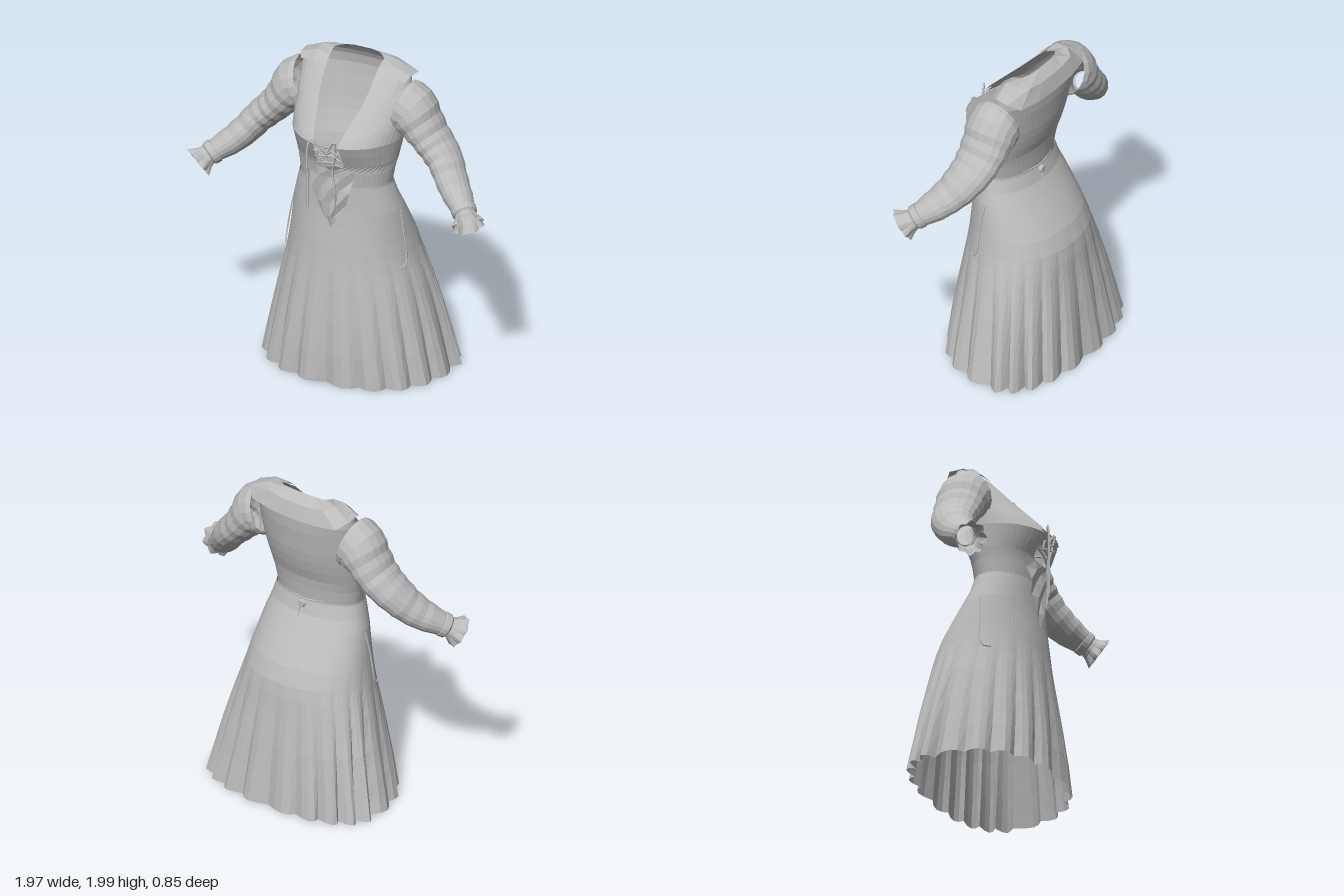
import * as THREE from 'three';

const cloth = new THREE.MeshStandardMaterial({ color: 0xbcbcbc, flatShading: true, side: THREE.DoubleSide });
cloth.name = 'grey cloth';

// Surface through rows of points that all have the same length
function loft(rows, name) {
  const n = rows[0].length, pos = [], idx = [];
  rows.forEach(r => r.forEach(p => pos.push(p[0], p[1], p[2])));
  for (let i = 0; i < rows.length - 1; i++) for (let j = 0; j < n - 1; j++) {
    const a = i * n + j, b = a + 1, c = a + n + 1, d = a + n;
    idx.push(a, b, c, a, c, d);
  }
  const g = new THREE.BufferGeometry();
  g.setAttribute('position', new THREE.Float32BufferAttribute(pos, 3));
  g.setIndex(idx);
  g.computeVertexNormals();
  const m = new THREE.Mesh(g, cloth);
  m.name = name;
  return m;
}

function cord(points, radius, name) {
  const curve = new THREE.CatmullRomCurve3(points.map(p => new THREE.Vector3(...p)));
  const m = new THREE.Mesh(new THREE.TubeGeometry(curve, points.length * 4, radius, 5), cloth);
  m.name = name;
  return m;
}

// Interpolate a table of rows by its first column
function at(table, y) {
  let i = 0;
  while (i < table.length - 2 && y > table[i + 1][0]) i++;
  const a = table[i], b = table[i + 1];
  const t = THREE.MathUtils.clamp((y - a[0]) / (b[0] - a[0]), 0, 1);
  return a.map((v, k) => v + (b[k] - v) * t);
}

// height, half width, front z, back z, widest z, half width of the front opening
const BODICE = [
  [1.20, 0.295, 0.30, -0.07, 0.10, 0], [1.27, 0.29, 0.30, -0.06, 0.10, 0],
  [1.36, 0.305, 0.31, -0.07, 0.09, 0], [1.42, 0.32, 0.325, -0.08, 0.08, 0.09],
  [1.49, 0.333, 0.36, -0.105, 0.07, 0.085], [1.56, 0.345, 0.39, -0.125, 0.06, 0.08],
  [1.63, 0.35, 0.34, -0.14, 0.04, 0.10], [1.70, 0.355, 0.265, -0.15, 0.02, 0.125],
  [1.78, 0.355, 0.19, -0.163, 0.00, 0.15], [1.85, 0.355, 0.125, -0.168, -0.03, 0.163],
  [1.91, 0.35, 0.065, -0.158, -0.04, 0.166], [1.945, 0.33, 0.03, -0.14, -0.05, 0.166],
  [1.97, 0.23, 0.0, -0.11, -0.05, 0.166], [1.985, 0.17, -0.02, -0.09, -0.055, 0.166],
];
const SKIRT = [
  [0.01, 0.59, 0.42, -0.415, -0.12], [0.2, 0.55, 0.41, -0.39, -0.10], [0.4, 0.505, 0.39, -0.365, -0.08],
  [0.6, 0.455, 0.365, -0.335, -0.05], [0.72, 0.42, 0.35, -0.32, -0.03], [0.8, 0.40, 0.34, -0.305, -0.01],
  [0.9, 0.38, 0.33, -0.265, 0.01], [1.0, 0.362, 0.318, -0.205, 0.04], [1.1, 0.342, 0.308, -0.14, 0.07],
  [1.18, 0.318, 0.304, -0.09, 0.09], [1.26, 0.296, 0.302, -0.065, 0.10],
];

function bodiceZ(x, y) {
  const [, w, zf, , zc] = at(BODICE, y);
  return zc + (zf - zc) * Math.sqrt(Math.max(0, 1 - (x / w) ** 2));
}

function bodice() {
  const N = 48;
  return loft(BODICE.map(([y, w, zf, zb, zc, g]) => {
    const t0 = Math.asin(g / w);
    return Array.from({ length: N + 1 }, (_, j) => {
      const t = t0 + (2 * Math.PI - 2 * t0) * j / N, c = Math.cos(t);
      const lift = y > 1.96 ? 0.015 * Math.max(0, -c) : 0;
      return [w * Math.sin(t), y + lift, zc + c * (c > 0 ? zf - zc : zc - zb)];
    });
  }), 'bodice');
}

// Twenty pleats deepen from hip to hem, most of all behind
function skirt() {
  const N = 80, pw = (v, p) => Math.sign(v) * Math.abs(v) ** p;
  return loft(SKIRT.map(([y, w, zf, zb, zc]) => {
    const k = Math.max(0, 1 - y / 0.85);
    const p = 0.85 + 0.12 * Math.min(1, y);
    return Array.from({ length: N + 1 }, (_, j) => {
      const t = 2 * Math.PI * j / N, s = Math.sin(t), c = Math.cos(t);
      const depth = k * (c < 0 ? 0.13 : 0.08);
      const f = 1 + depth * (Math.abs(Math.sin(10 * t)) - 0.75);
      return [0.01 * k + w * f * pw(s, p), y, zc + pw(c, p) * f * (c > 0 ? zf - zc : zc - zb)];
    });
  }), 'pleatedSkirt');
}

// Sweep elliptical rings [x, y, z, radius up, radius across]; s mirrors the side
function sweep(rings, s, sides, name, wave = () => 1) {
  const P = rings.map(r => new THREE.Vector3(r[0], r[1], r[2]));
  const Z = new THREE.Vector3(0, 0, 1);
  return loft(rings.map((r, i) => {
    const t = P[Math.min(i + 1, P.length - 1)].clone().sub(P[Math.max(i - 1, 0)]).normalize();
    const u = t.clone().cross(Z).normalize(), v = t.clone().cross(u);
    return Array.from({ length: sides + 1 }, (_, j) => {
      const a = s * 2 * Math.PI * j / sides, f = wave(i, j);
      const q = P[i].clone().addScaledVector(u, r[3] * f * Math.cos(a)).addScaledVector(v, r[4] * f * Math.sin(a));
      return [q.x * s, q.y, q.z];
    });
  }), name);
}

const ARM = [
  [0.32, 1.745, 0, 0.165, 0.15], [0.38, 1.725, 0, 0.155, 0.16], [0.44, 1.65, 0, 0.122, 0.152],
  [0.50, 1.575, 0.005, 0.103, 0.145], [0.56, 1.515, 0.015, 0.097, 0.137], [0.62, 1.455, 0.04, 0.092, 0.125],
  [0.67, 1.39, 0.08, 0.088, 0.112], [0.73, 1.33, 0.13, 0.083, 0.10], [0.79, 1.285, 0.18, 0.075, 0.085],
  [0.84, 1.25, 0.225, 0.058, 0.062],
];

function sleeve(s) {
  const g = new THREE.Group();
  g.name = s > 0 ? 'leftSleeve' : 'rightSleeve';
  // Soft gathered folds between the main rings
  const rings = [];
  ARM.forEach((r, i) => {
    rings.push(r);
    const n = ARM[i + 1];
    if (n) rings.push(r.map((v, k) => (v + n[k]) / 2 * (k > 2 ? 1.045 : 1)));
  });
  g.add(sweep(rings, s, 18, 'sleeve'));
  g.add(sweep([[0.815, 1.27, 0.20, 0.062, 0.062], [0.822, 1.263, 0.207, 0.076, 0.078],
    [0.845, 1.245, 0.228, 0.074, 0.076], [0.853, 1.238, 0.236, 0.058, 0.06]], s, 18, 'cuffBand'));
  g.add(sweep([[0.845, 1.245, 0.228, 0.058, 0.06], [0.868, 1.225, 0.25, 0.07, 0.07],
    [0.888, 1.205, 0.275, 0.094, 0.09], [0.895, 1.198, 0.283, 0.098, 0.094]], s, 32, 'cuffFrill',
    (i, j) => 1 + 0.035 * i * (j % 4 === 0 ? -1 : j % 4 === 2 ? 1 : 0)));
  return g;
}

// Broad collar: lapels down the front, a flap over shoulders and back
function collar() {
  const g = new THREE.Group();
  g.name = 'collar';
  const EDGE = [[1.57, 0.17], [1.60, 0.205], [1.68, 0.25], [1.78, 0.305], [1.86, 0.335], [1.91, 0.34]];
  for (const s of [1, -1]) {
    g.add(loft(EDGE.map(([y, out]) => {
      const inner = at(BODICE, y)[5] - 0.004;
      return Array.from({ length: 6 }, (_, j) => {
        const x = inner + (out - inner) * (s > 0 ? j : 5 - j) / 5;
        return [s * x, y, bodiceZ(x, y) + 0.014];
      });
    }), 'lapel'));
  }
  const half = [ // inner edge, fold, outer edge
    [[0.166, 1.91, 0.075], [0.25, 1.925, 0.055], [0.345, 1.905, 0.03]],
    [[0.166, 1.965, 0.01], [0.25, 1.975, 0.0], [0.365, 1.93, -0.01]],
    [[0.168, 1.985, -0.05], [0.25, 1.98, -0.08], [0.37, 1.925, -0.10]],
    [[0.12, 1.995, -0.09], [0.20, 1.965, -0.14], [0.31, 1.875, -0.155]],
    [[0.06, 2.0, -0.1], [0.10, 1.955, -0.152], [0.16, 1.865, -0.178]],
    [[0, 2.0, -0.1], [0, 1.955, -0.155], [0, 1.86, -0.182]],
  ];
  const other = half.slice(0, -1).reverse().map(r => r.map(([x, y, z]) => [-x, y, z]));
  g.add(loft([...half, ...other].map(r => r.slice().reverse()), 'collarFlap'));
  return g;
}

// Pointed front panel with folded cloth
function frontPanel() {
  const rows = [[1.0, 0.004], [1.07, 0.045], [1.16, 0.10], [1.25, 0.125], [1.33, 0.145], [1.40, 0.16]];
  return loft(rows.map(([y, w], i) => [-1, -0.5, 0, 0.5, 1].map((k, j) =>
    [w * k, y - (i === 5 ? 0.015 * (1 - k * k) : 0), (y < 1.27 ? 0.322 - 0.015 * k * k : bodiceZ(w * k, y) + 0.014)
      + ((i + j) % 2 && i && i < 5 ? 0.014 : 0)])), 'frontPanel');
}

function laces() {
  const g = new THREE.Group();
  g.name = 'laces';
  const ys = [1.41, 1.46, 1.51, 1.56];
  ys.slice(0, -1).forEach((y, i) => [1, -1].forEach(s => {
    const a = s * 0.085, b = -s * 0.085, y2 = ys[i + 1];
    g.add(cord([[a, y, bodiceZ(a, y) + 0.008], [0, (y + y2) / 2, 0.345], [b, y2, bodiceZ(b, y2) + 0.008]], 0.005, 'crossLace'));
  }));
  // Hanging ends and the bow
  g.add(cord([[0.0, 1.5, 0.36], [-0.05, 1.56, 0.39], [-0.085, 1.6, 0.405], [-0.1, 1.55, 0.42], [-0.1, 1.35, 0.42], [-0.1, 1.15, 0.42]], 0.007, 'hangingLace'));
  g.add(cord([[0.0, 1.5, 0.36], [0.03, 1.56, 0.37], [0.06, 1.6, 0.385], [0.055, 1.5, 0.365], [0.03, 1.38, 0.35], [0.045, 1.25, 0.345], [0.04, 1.13, 0.34]], 0.007, 'hangingLace'));
  g.add(cord([[0.0, 1.5, 0.36], [0.05, 1.53, 0.375], [0.075, 1.5, 0.37], [0.0, 1.49, 0.36], [-0.06, 1.46, 0.365], [-0.05, 1.52, 0.37], [0, 1.5, 0.36]], 0.006, 'bow'));
  return g;
}

// Rosette and seam at the back of the waist, and pocket seams
function trims() {
  const g = new THREE.Group();
  g.name = 'trims';
  const rosette = new THREE.Mesh(new THREE.CylinderGeometry(0.022, 0.028, 0.02, 10), cloth);
  rosette.name = 'backRosette';
  rosette.rotation.x = -Math.PI / 2;
  rosette.position.set(0, 1.24, -0.082);
  g.add(rosette);
  g.add(cord([[0, 1.23, -0.085], [0.012, 1.2, -0.092], [0.004, 1.16, -0.112]], 0.005, 'backTie'));
  g.add(cord([[-0.14, 1.275, -0.04], [0, 1.27, -0.066], [0.14, 1.275, -0.04]], 0.005, 'backSeam'));
  for (const s of [1, -1])
    g.add(cord([[0.345, 1.09, 0.085], [0.372, 0.95, 0.10], [0.395, 0.8, 0.105], [0.393, 0.75, 0.125], [0.372, 0.74, 0.17]]
      .map(([x, y, z]) => [s * x, y, z]), 0.005, 'pocketSeam'));
  return g;
}

export function createModel() {
  const dress = new THREE.Group();
  dress.name = 'dress';
  dress.add(skirt(), bodice(), collar(), sleeve(1), sleeve(-1), frontPanel(), laces(), trims());
  return dress;
}
